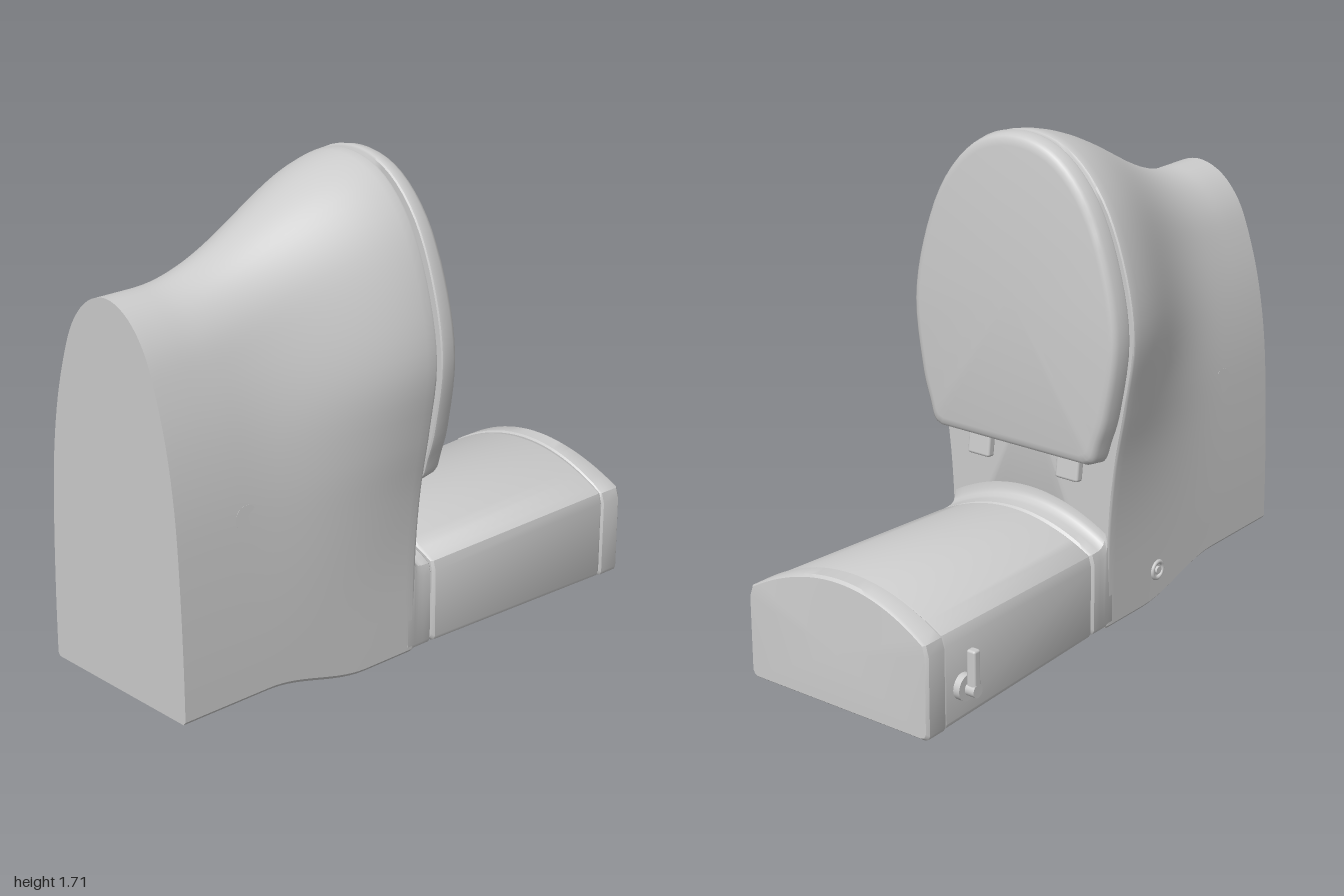
import * as THREE from 'three';
import { toCreasedNormals } from 'three/addons/utils/BufferGeometryUtils.js';
import { RoundedBoxGeometry } from 'three/addons/geometries/RoundedBoxGeometry.js';

const material = new THREE.MeshStandardMaterial({ color: 0xcccccc });
const { lerp, smoothstep } = THREE.MathUtils;

function add(parent, name, geometry, x = 0, y = 0, z = 0) {
  const mesh = new THREE.Mesh(geometry, material);
  mesh.name = name;
  mesh.position.set(x, y, z);
  parent.add(mesh);
  return mesh;
}

// Skins rings of [x, y, z], ordered from +z to -z, each clockwise seen from +z; both ends are capped.
function loft(rings, centreY, crease = 0.6) {
  const n = rings[0].length, last = rings.length - 1;
  const points = rings.flat();
  const index = [];
  for (let r = 0; r < last; r++) {
    for (let i = 0; i < n; i++) {
      const a = r * n + i, b = r * n + (i + 1) % n;
      index.push(a, b, a + n, b, b + n, a + n);
    }
  }
  const front = points.length, back = front + 1;
  points.push([0, centreY, rings[0][0][2]], [0, centreY, rings[last][0][2]]);
  for (let i = 0; i < n; i++) {
    const j = (i + 1) % n;
    index.push(front, j, i, back, last * n + i, last * n + j);
  }
  const geometry = new THREE.BufferGeometry();
  geometry.setAttribute('position', new THREE.Float32BufferAttribute(points.flat(), 3));
  geometry.setIndex(index);
  return toCreasedNormals(geometry, crease);
}

// Smooth symmetrical arch from the left foot over the top to the right foot.
function arch(half, samples = 72) {
  const pts = half.slice(1).reverse().map(([x, y]) => [-x, y]).concat(half);
  const curve = new THREE.CatmullRomCurve3(pts.map(([x, y]) => new THREE.Vector3(x, y, 0)), false, 'catmullrom', 0.5);
  return curve.getPoints(samples).map((p) => [p.x, p.y]);
}

const FOOT = [[0, 1.41], [0.1, 1.375], [0.18, 1.285], [0.235, 1.15], [0.28, 0.98], [0.31, 0.78], [0.325, 0.55], [0.333, 0.3]];
const RIM = [[0, 1.71], [0.165, 1.665], [0.3, 1.525], [0.39, 1.31], [0.432, 1.07], [0.4, 0.82], [0.362, 0.6], [0.34, 0.35]];

// Pedestal section at height z, with the hollow pushed in from the underside.
function bodyRing(z, hollow = false, scale = 1) {
  const rise = smoothstep(0.85 - z, 0, 0.9);
  const flare = Math.pow(smoothstep(0.75 - z, 0, 0.75), 1.4);
  const base = 0.08 * smoothstep(z, 0.22, 0.65);
  const inner = hollow ? 0.25 : base;
  const half = FOOT.map(([x, y], i) => [lerp(x, RIM[i][0], flare), lerp(y, RIM[i][1], rise)]);
  half.push([0.335, base + 0.012]);
  return [...arch(half), [0.325, base], [0.25, base], [0.25, inner], [-0.25, inner], [-0.25, base], [-0.325, base]]
    .map(([x, y]) => [x * scale, 0.8 + (y - 0.8) * scale, z]);
}

// Box section with an arched top, used by the deck, tank and tank lid.
function tankRing(w, side, top, z, inset = 0, slope = 0) {
  const ring = [];
  const W = w - inset, bottom = 0.005 + inset;
  ring.push([-W + 0.02, bottom], [-W + 0.006, bottom + 0.006], [-W, bottom + 0.02], [-W, side - 0.03]);
  for (let i = 0; i <= 24; i++) {
    const t = (i / 12 - 1) * 0.97;
    ring.push([t * W, side + (top - inset - side) * (1 - t * t)]);
  }
  ring.push([W, side - 0.03], [W, bottom + 0.02], [W - 0.006, bottom + 0.006], [W - 0.02, bottom]);
  return ring.map(([x, y]) => [x, y, z + slope * Math.max(0, y - side)]);
}

export function createModel() {
  const model = new THREE.Group();
  model.name = 'toilet';

  // Pedestal and bowl, with a rectangular hollow between two straight end walls
  const rings = [];
  const span = (from, to, steps, hollow) => {
    for (let i = 0; i <= steps; i++) rings.push(bodyRing(lerp(from, to, i / steps), hollow));
  };
  span(1, 0.9, 3, false);
  span(0.9, 0.17, 24, true);
  span(0.17, 0.012, 5, false);
  rings.push(bodyRing(0.004, false, 0.997), bodyRing(0, false, 0.988));
  add(model, 'bowl', loft(rings, 0.8));

  // Deck behind the bowl, filleted up to the rim
  const deck = [[0.03, 0.45], [0, 0.45], [-0.004, 0.428], [-0.012, 0.413], [-0.025, 0.403], [-0.04, 0.4], [-0.074, 0.398]]
    .map(([z, top]) => tankRing(0.336, top - 0.1, top, z));
  deck.push(tankRing(0.336, 0.296, 0.398, -0.083, 0.009));
  add(model, 'deck', loft(deck, 0.2));

  // Tank and its lid
  add(model, 'tank', loft([
    tankRing(0.338, 0.3, 0.398, -0.088, 0.009),
    tankRing(0.338, 0.3, 0.4, -0.097),
    tankRing(0.37, 0.325, 0.437, -0.9),
    tankRing(0.37, 0.325, 0.437, -0.912, 0.006),
  ], 0.2));
  add(model, 'tankLid', loft([
    tankRing(0.374, 0.325, 0.444, -0.908, 0.005),
    tankRing(0.376, 0.325, 0.446, -0.914),
    tankRing(0.377, 0.325, 0.446, -0.99, 0, 0.15),
    tankRing(0.377, 0.325, 0.446, -1, 0.008, 0.15),
  ], 0.2));
  add(model, 'tankPanel', new THREE.BoxGeometry(0.42, 0.008, 0.46), 0, 0.005, -0.45);

  // Closed seat cover, a little thicker towards the hinges
  const cover = arch([...RIM.slice(0, 6), [0.365, 0.7], [0.345, 0.64], [0.315, 0.622]]);
  const coverLayers = [[-0.02, 0.985], [-0.024, 0.996], [-0.032, 1], [-0.065, 0.988], [-0.077, 0.976], [-0.084, 0.955], [-0.087, 0.92]];
  add(model, 'seatCover', loft(coverLayers.map(([z, s]) => cover.map(([x, y]) =>
    [x * s, 1.165 + (y - 1.165) * s, z * (z < -0.05 ? 1 + 0.25 * (1.71 - y) / 1.09 : 1)])), 1.165));

  // Hinges, and bumpers between rim and cover
  for (const side of [-1, 1]) {
    const hinge = add(model, 'hinge', new RoundedBoxGeometry(0.095, 0.14, 0.035, 2, 0.01), side * 0.19, 0.6, -0.02);
    hinge.rotation.x = 0.12;
    for (const [x, y] of [[0.2, 1.5], [0.3, 0.86]]) {
      add(model, 'bumper', new RoundedBoxGeometry(0.04, 0.07, 0.03, 2, 0.006), side * x, y, -0.012);
    }
    // Flush cap on the flank
    const cap = add(model, 'sideCap', new THREE.CylinderGeometry(0.045, 0.045, 0.02, 32), side * 0.307, 0.7, 0.72);
    cap.rotation.z = side * (-Math.PI / 2 + 0.065);
  }
  const barrel = add(model, 'hingeBar', new THREE.CylinderGeometry(0.016, 0.016, 0.46, 20), 0, 0.645, -0.03);
  barrel.rotation.z = Math.PI / 2;

  // Water inlet boss low on the right flank
  const boss = add(model, 'inletRing', new THREE.TorusGeometry(0.03, 0.008, 10, 32), -0.336, 0.12, 0.3);
  boss.rotation.y = Math.PI / 2;
  const plug = add(model, 'inletPlug', new THREE.CylinderGeometry(0.014, 0.014, 0.02, 20), -0.334, 0.12, 0.3);
  plug.rotation.z = Math.PI / 2;

  // Flush handle
  const handle = new THREE.Group();
  handle.name = 'flushHandle';
  handle.position.set(-0.37, 0.13, -0.82);
  model.add(handle);
  for (const [name, r, length, x] of [['handlePlate', 0.045, 0.025, -0.01], ['handleShaft', 0.016, 0.06, -0.03], ['handleHub', 0.023, 0.035, -0.045]]) {
    add(handle, name, new THREE.CylinderGeometry(r, r, length, 28), x).rotation.z = Math.PI / 2;
  }
  add(handle, 'handleLever', new RoundedBoxGeometry(0.035, 0.16, 0.032, 2, 0.008), -0.045, 0.06, 0);

  return model;
}
